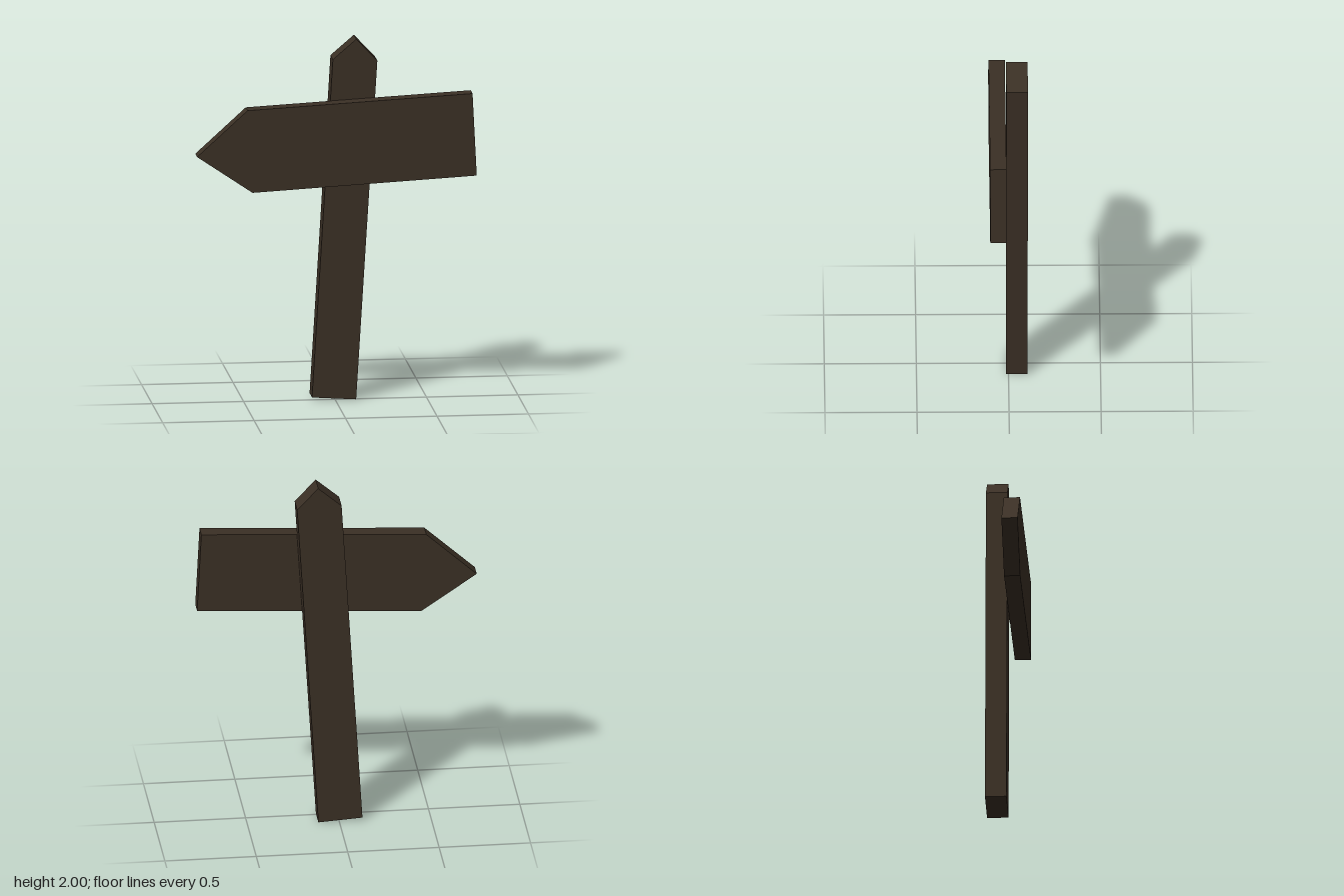
import * as THREE from 'three';

// Flat plank: outline in the xy plane (counter-clockwise), between two depths
function plank(name, outline, zBack, zFront, material) {
  const shape = new THREE.Shape(outline.map(([x, y]) => new THREE.Vector2(x, y)));
  const geometry = new THREE.ExtrudeGeometry(shape, { depth: zFront - zBack, bevelEnabled: false });
  geometry.translate(0, 0, zBack);
  const mesh = new THREE.Mesh(geometry, material);
  mesh.name = name;
  return mesh;
}

export function createModel() {
  const group = new THREE.Group();
  group.name = 'signpost';
  const wood = new THREE.MeshStandardMaterial({ color: 0x3b3025, flatShading: true });
  wood.name = 'dark wood';

  // Leaning post with a pointed top
  group.add(plank('post', [
    [-0.127, 0.016], [0.114, 0], [0.23, 1.878], [0.115, 2], [-0.013, 1.89],
  ], -0.104, 0.013, wood));

  // Tilted board with an arrow end
  group.add(plank('arrowBoard', [
    [-0.766, 1.386], [-0.463, 1.18], [0.763, 1.246], [0.74, 1.702], [-0.49, 1.637],
  ], 0.016, 0.104, wood));

  return group;
}
